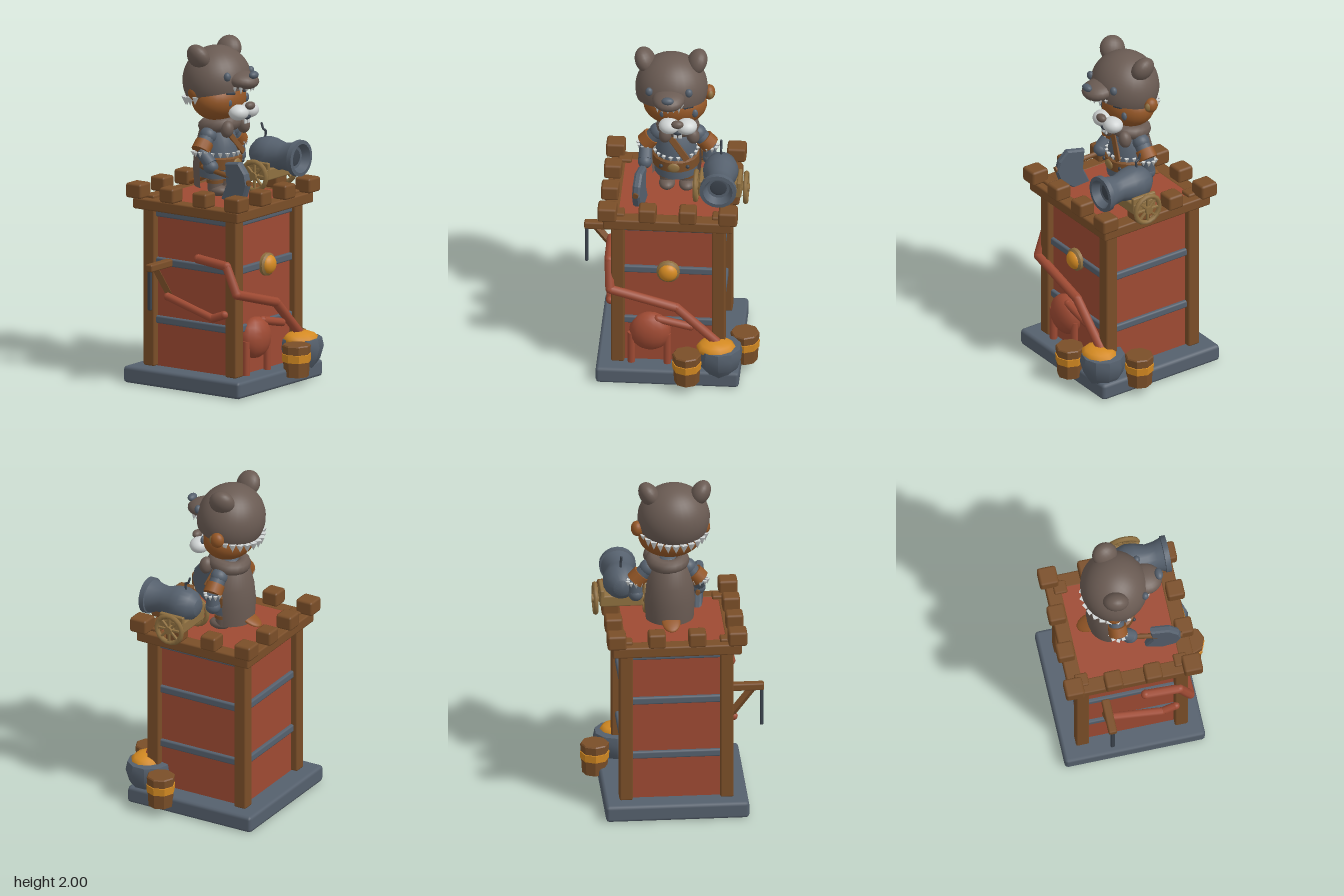
import * as THREE from 'three';
import { toCreasedNormals } from 'three/addons/utils/BufferGeometryUtils.js';
import { RoundedBoxGeometry } from 'three/addons/geometries/RoundedBoxGeometry.js';

const V = (p) => new THREE.Vector3(...p);

export function createModel() {
  const root = new THREE.Group();
  root.name = 'towerWithWarrior';
  const material = (name, color, side = THREE.FrontSide) => {
    const m = new THREE.MeshStandardMaterial({ color, side });
    m.name = name;
    return m;
  };
  const slate = material('slate', 0x55606d), wood = material('wood', 0x7a4e28);
  const red = material('red', 0x9e4a33), orange = material('orange', 0xd48a22);
  const pelt = material('pelt', 0x6a5b53, THREE.DoubleSide), fur = material('fur', 0x935626);
  const tan = material('tan', 0x8f7040), bone = material('bone', 0xd0d4d4);
  const dark = material('darkMetal', 0x3b434d);

  // Helpers
  let parent = root;
  const group = (name) => {
    parent = new THREE.Group();
    parent.name = name;
    root.add(parent);
  };
  const add = (name, geo, mat, pos = [0, 0, 0], rot = [0, 0, 0], scale = [1, 1, 1]) => {
    const m = new THREE.Mesh(geo, mat);
    m.name = name;
    m.position.set(...pos);
    m.rotation.set(...rot);
    m.scale.set(...scale);
    parent.add(m);
    return m;
  };
  const box = (name, mat, pos, size, rot, r = 0.01) =>
    add(name, new RoundedBoxGeometry(...size, 1, Math.min(r, Math.min(...size) / 3)), mat, pos, rot);
  const ball = (name, mat, pos, radii, rot, seg = 20) =>
    add(name, new THREE.SphereGeometry(1, seg, Math.ceil(seg * 0.7)), mat, pos, rot, radii);
  const lathe = (name, mat, pts, seg, pos, rot, crease = 0.6) =>
    add(name, toCreasedNormals(new THREE.LatheGeometry(pts.map((p) => new THREE.Vector2(...p)), seg), crease), mat, pos, rot);
  const rod = (name, mat, a, b, r0, r1 = r0, seg = 8) => {
    const d = V(b).sub(V(a));
    const m = add(name, new THREE.CylinderGeometry(r1, r0, d.length(), seg), mat);
    m.position.copy(V(a).addScaledVector(d, 0.5));
    m.quaternion.setFromUnitVectors(new THREE.Vector3(0, 1, 0), d.normalize());
    return m;
  };
  const pipe = (name, mat, pts, r) => pts.forEach((p, i) => {
    ball(name + 'Joint', mat, p, [r, r, r], undefined, 10);
    if (i) rod(name, mat, pts[i - 1], p, r);
  });
  // Ring of downward pointed tufts
  const tufts = (name, c, rx, rz, n, size, a0 = 0, a1 = Math.PI * 2, slope = 0) => {
    for (let i = 0; i < n; i++) {
      const a = a0 + ((a1 - a0) * (i + 0.5)) / n, z = Math.cos(a) * rz;
      add(name, new THREE.ConeGeometry(size * 0.5, size, 4), bone,
        [c[0] + Math.sin(a) * rx, c[1] + z * slope, c[2] + z], [Math.PI, a, 0]);
    }
  };

  // Tower
  const C = -0.055;
  group('tower');
  box('base', slate, [0, 0.05, C], [0.83, 0.1, 0.83], undefined, 0.02);
  box('walls', red, [0, 0.585, C], [0.58, 0.99, 0.58], undefined, 0.004);
  for (const x of [-1, 1]) for (const z of [-1, 1])
    box('cornerPost', wood, [x * 0.292, 0.605, C + z * 0.292], [0.078, 1.01, 0.078]);
  for (const y of [0.375, 0.72, 1.005]) for (const s of [-1, 1]) {
    box('wallRail', slate, [0, y, C + s * 0.292], [0.53, 0.045, 0.035]);
    box('wallRail', slate, [s * 0.292, y, C], [0.035, 0.045, 0.53]);
  }
  for (const s of [-1, 1]) {
    box('platformBeam', wood, [0, 1.06, C + s * 0.33], [0.75, 0.065, 0.09]);
    box('platformBeam', wood, [s * 0.33, 1.06, C], [0.09, 0.065, 0.75]);
  }
  box('floor', red, [0, 1.07, C], [0.6, 0.04, 0.6], undefined, 0.003);
  const rows = [-0.35, -0.117, 0.117, 0.35];
  rows.forEach((x, i) => rows.forEach((z, j) => {
    const corner = (i % 3 === 0) && (j % 3 === 0);
    if (i % 3 && j % 3) return;
    const s = corner ? 0.11 : 0.102;
    box('battlement', wood, [x, 1.137, C + z], [s, 0.088, s], undefined, 0.014);
  }));

  // Front boss
  lathe('bossRim', tan, [[0.068, 0], [0.068, 0.02], [0.055, 0.03]], 16, [0, 0.72, 0.25], [Math.PI / 2, 0, 0]);
  ball('boss', orange, [0, 0.72, 0.27], [0.056, 0.056, 0.04]);

  // Red beast relief wrapped round the corner
  group('wallRelief');
  pipe('trunk', red, [[-0.345, 0.78, 0.02], [-0.345, 0.76, 0.22], [-0.335, 0.6, 0.285], [0.05, 0.49, 0.285], [0.28, 0.27, 0.285]], 0.028);
  pipe('sideArm', red, [[-0.345, 0.53, -0.2], [-0.345, 0.44, 0.12], [-0.34, 0.47, 0.2]], 0.024);
  pipe('frontArm', red, [[-0.06, 0.4, 0.27], [0.13, 0.355, 0.27]], 0.024);
  ball('beastBody', red, [-0.105, 0.305, 0.25], [0.122, 0.122, 0.078], undefined, 14);
  for (const x of [-0.213, -0.005]) rod('beastLeg', red, [x, 0.1, 0.265], [x, 0.3, 0.265], 0.022);

  // Side bracket
  group('bracket');
  box('bracketArm', wood, [-0.415, 0.724, -0.21], [0.21, 0.045, 0.05]);
  const brace = rod('bracketBrace', wood, [-0.32, 0.54, -0.21], [-0.45, 0.71, -0.21], 0.024, 0.024, 4);
  brace.geometry = toCreasedNormals(brace.geometry, 0.5);
  box('bracketBar', dark, [-0.506, 0.595, -0.21], [0.02, 0.24, 0.024]);

  // Cauldron and buckets
  group('vessels');
  lathe('cauldron', slate, [[0, 0.06], [0.08, 0.065], [0.115, 0.12], [0.135, 0.19], [0.125, 0.24], [0.09, 0.245], [0, 0.24]], 10, [0.3, 0, 0.28]);
  ball('cauldronFill', orange, [0.28, 0.235, 0.295], [0.115, 0.05, 0.1], undefined, 10);
  for (const [x, z] of [[0.116, 0.385], [0.435, 0.12]]) {
    lathe('bucket', wood, [[0, 0.055], [0.073, 0.055], [0.084, 0.235], [0.078, 0.242], [0, 0.242]], 8, [x, 0, z], undefined, 0.3);
    lathe('bucketBand', orange, [[0.076, 0.14], [0.083, 0.142], [0.086, 0.188], [0.078, 0.19]], 8, [x, 0, z], undefined, 0.3);
  }

  // Cannon
  group('cannon');
  lathe('barrel', slate, [[0, -0.055], [0.05, -0.045], [0.085, -0.01], [0.103, 0.05], [0.098, 0.1], [0.078, 0.17], [0.085, 0.22],
    [0.098, 0.26], [0.107, 0.263], [0.107, 0.293], [0.085, 0.295], [0.065, 0.25], [0, 0.24]], 20, [0.29, 1.297, 0], [Math.PI / 2, 0, 0]);
  ball('bore', dark, [0.29, 1.297, 0.245], [0.052, 0.052, 0.008]);
  pipe('fuse', dark, [[0.29, 1.38, 0.035], [0.29, 1.43, 0.04], [0.29, 1.44, 0.02], [0.29, 1.47, 0.01]], 0.007);
  box('carriage', tan, [0.29, 1.2, 0.065], [0.25, 0.07, 0.16]);
  for (const s of [-1, 1]) box('carriageCheek', tan, [0.29 + s * 0.11, 1.225, 0.065], [0.025, 0.09, 0.16]);
  for (const x of [0.147, 0.437]) {
    add('wheelRim', new THREE.TorusGeometry(0.083, 0.015, 6, 18), tan, [x, 1.19, 0.062], [0, Math.PI / 2, 0]);
    rod('wheelHub', tan, [x - 0.02, 1.19, 0.062], [x + 0.02, 1.19, 0.062], 0.024, 0.024, 10);
    for (let i = 0; i < 4; i++) box('wheelSpoke', tan, [x, 1.19, 0.062], [0.015, 0.165, 0.014], [(i * Math.PI) / 4, 0, 0], 0.003);
  }

  // Warrior body
  group('warrior');
  for (const x of [-0.03, 0.085]) {
    rod('leg', pelt, [x, 1.12, -0.09], [x, 1.25, -0.09], 0.043, 0.05, 14);
    ball('foot', pelt, [x, 1.12, -0.07], [0.047, 0.033, 0.065]);
    rod('legStrap', wood, [x, 1.165, -0.09], [x, 1.185, -0.09], 0.05, 0.05, 14);
  }
  lathe('tunic', slate, [[0, 1.19], [0.125, 1.2], [0.125, 1.3], [0.115, 1.38], [0.09, 1.46], [0.05, 1.52], [0, 1.53]], 20, [0.02, 0, -0.1], undefined, 0.8);
  lathe('belt', wood, [[0.122, 1.25], [0.136, 1.255], [0.136, 1.315], [0.12, 1.325]], 20, [0.02, 0, -0.1]);
  tufts('beltTrim', [0.02, 1.335, -0.1], 0.125, 0.125, 18, 0.03);
  ball('buckle', tan, [0.015, 1.285, 0.035], [0.035, 0.03, 0.012]);
  for (const x of [-0.06, 0.095]) ball('beltStud', dark, [x, 1.285, 0.015], [0.012, 0.012, 0.01]);
  box('chestStrap', wood, [0.035, 1.41, 0.003], [0.04, 0.19, 0.014], [-0.28, 0, 0.65], 0.004);
  ball('tail', fur, [0.02, 1.165, -0.23], [0.055, 0.018, 0.085], [-0.45, 0, 0]);
  const cape = [[0.07, 1.52], [0.115, 1.46], [0.14, 1.36], [0.15, 1.26], [0.142, 1.14]].map((p) => new THREE.Vector2(...p));
  add('cape', new THREE.LatheGeometry(cape, 16, Math.PI - 1.35, 2.7), pelt, [0.02, 0, -0.1]);
  add('collar', new THREE.TorusGeometry(0.085, 0.042, 10, 20), pelt, [0.03, 1.5, -0.1], [Math.PI / 2 - 0.15, 0, 0]);
  for (const x of [-0.035, 0.125]) ball('peltPaw', pelt, [x, 1.49, 0.0], [0.038, 0.05, 0.038], [0, 0, x < 0.04 ? -0.2 : 0.2]);

  // Arms
  for (const s of [-1, 1]) {
    const X = (d) => 0.03 + s * d, hz = s < 0 ? -0.03 : -0.1;
    ball('shoulder', slate, [X(0.115), 1.45, -0.1], [0.05, 0.05, 0.05]);
    rod('upperArm', slate, [X(0.115), 1.45, -0.1], [X(0.175), 1.38, -0.1], 0.045, 0.045, 12);
    rod('armCuff', fur, [X(0.15), 1.415, -0.1], [X(0.19), 1.37, -0.1], 0.054, 0.056, 12);
    tufts('cuffTrim', [X(0.185), 1.355, -0.1], 0.045, 0.045, 9, 0.03);
    rod('forearm', slate, [X(0.185), 1.37, -0.1], [X(0.185), 1.3, hz], 0.036, 0.04, 12);
    ball('hand', slate, [X(0.185), 1.285, hz], [0.042, 0.042, 0.045]);
  }

  // Axe
  const blade = new THREE.Shape([[0.1, 1.32], [0.2, 1.335], [0.25, 1.28], [0.265, 1.22], [0.24, 1.15], [0.16, 1.1], [0.07, 1.115], [0.11, 1.2]]
    .map((p) => new THREE.Vector2(...p)));
  add('axeBlade', new THREE.ExtrudeGeometry(blade, { depth: 0.022, bevelSize: 0.008, bevelThickness: 0.012, bevelSegments: 1 }),
    slate, [-0.134, 0, 0], [0, -Math.PI / 2 - 0.16, 0]);
  rod('axeHandle', wood, [-0.145, 1.275, -0.1], [-0.19, 1.23, 0.27], 0.014, 0.018);

  // Head and face
  group('head');
  ball('face', fur, [0.015, 1.655, -0.095], [0.185, 0.128, 0.145], undefined, 28);
  for (const s of [-1, 1]) {
    ball('ear', fur, [0.015 + s * 0.195, 1.715, -0.125], [0.035, 0.045, 0.042]);
    ball('innerEar', tan, [0.015 + s * 0.203, 1.715, -0.108], [0.02, 0.03, 0.03]);
    ball('muzzle', bone, [0.042 + s * 0.05, 1.592, 0.062], [0.062, 0.046, 0.058]);
    ball('eye', slate, [0.043 + s * 0.093, 1.652, 0.028 - (s > 0 ? 0.015 : 0)], [0.019, 0.026, 0.014]);
    box('brow', dark, [0.028 + s * 0.072, 1.706, 0.032], [0.06, 0.016, 0.02], [0, s * 0.3, s * 0.1]);
    box('frontTooth', bone, [0.042 + s * 0.014, 1.545, 0.085], [0.022, 0.045, 0.012], undefined, 0.004);
  }
  ball('nose', pelt, [0.042, 1.63, 0.108], [0.036, 0.024, 0.026]);
  ball('mouth', dark, [0.042, 1.562, 0.075], [0.035, 0.018, 0.03]);

  // Beast hood
  group('hood');
  add('hoodDome', new THREE.SphereGeometry(1, 28, 18, 0, Math.PI * 2, 0, Math.PI * 0.61), pelt,
    [-0.006, 1.765, -0.092], [-0.2, 0, 0], [0.21, 0.205, 0.196]);
  ball('hoodSnout', pelt, [-0.01, 1.79, 0.09], [0.095, 0.052, 0.1], [0.12, 0, 0]);
  ball('hoodNose', slate, [-0.01, 1.828, 0.172], [0.036, 0.022, 0.024]);
  for (const s of [-1, 1]) {
    ball('hoodEar', pelt, [-0.01 + s * 0.15, 1.925, -0.115], [0.055, 0.078, 0.075], [-0.25, s * 0.35, -s * 0.4]);
    ball('hoodEye', slate, [-0.01 + s * 0.115, 1.822, 0.066], [0.022, 0.026, 0.02]);
    add('fang', new THREE.ConeGeometry(0.014, 0.05, 6), bone, [-0.01 + s * 0.062, 1.74, 0.125], [Math.PI, 0, 0]);
  }
  tufts('hoodRearTrim', [-0.006, 1.675, -0.092], 0.19, 0.18, 13, 0.05, Math.PI / 2, Math.PI * 1.5, 0.2);
  tufts('hoodTeeth', [-0.01, 1.742, 0.06], 0.082, 0.09, 7, 0.028, -1.4, 1.4);
  return root;
}
